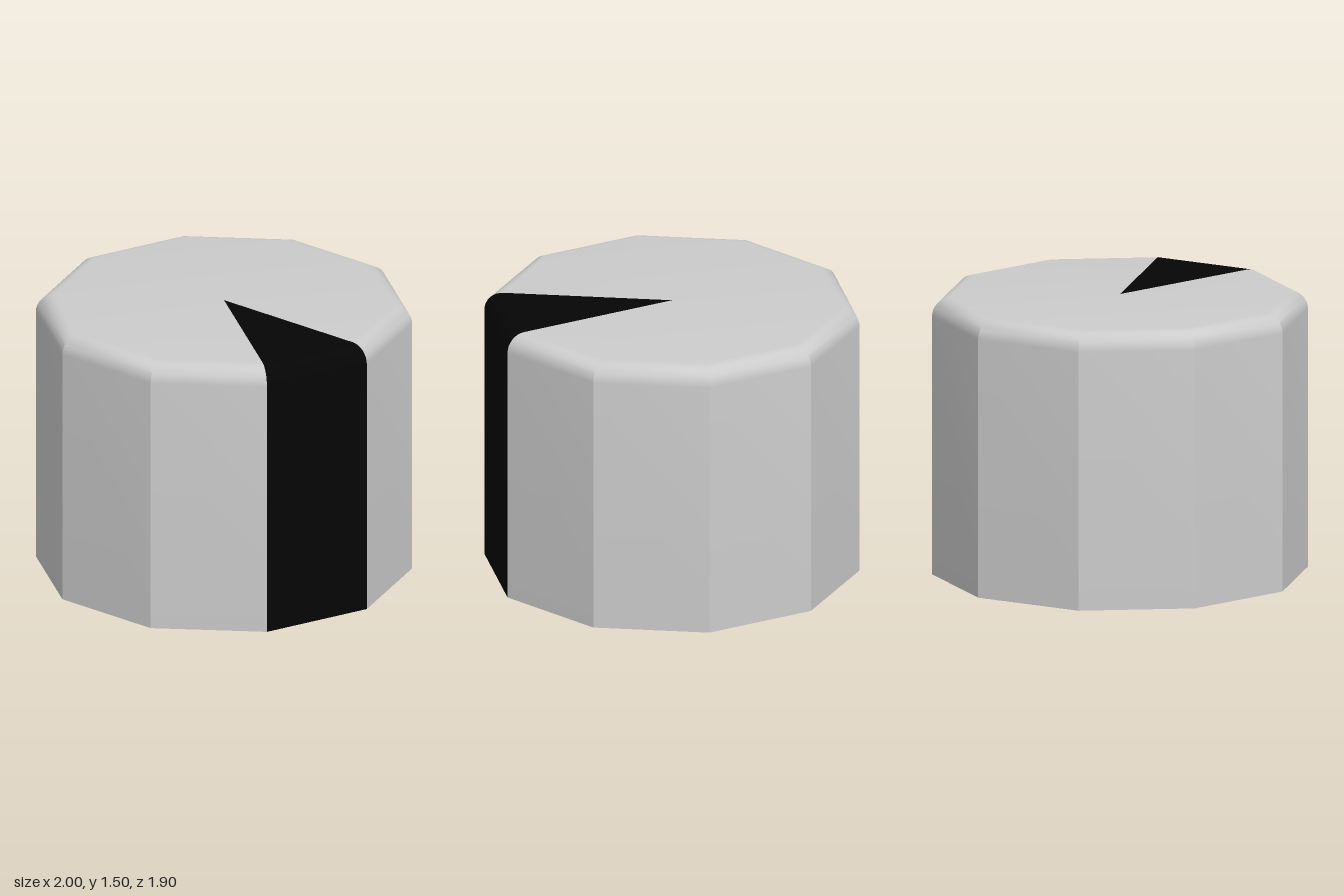
import * as THREE from 'three';
import { toCreasedNormals } from 'three/addons/utils/BufferGeometryUtils.js';

const SIDES = 10, HEIGHT = 1.5, RADIUS = 1, BEVEL = 0.1, ARC_STEPS = 8;
const STEP = (Math.PI * 2) / SIDES;

// Wall, rounded rim and top, from the base up to the centre
function knobProfile() {
  const points = [new THREE.Vector2(RADIUS, 0)];
  for (let i = 0; i <= ARC_STEPS; i++) {
    const a = (i / ARC_STEPS) * Math.PI / 2;
    points.push(new THREE.Vector2(
      RADIUS - BEVEL + BEVEL * Math.cos(a),
      HEIGHT - BEVEL + BEVEL * Math.sin(a)));
  }
  points.push(new THREE.Vector2(0, HEIGHT));
  return points;
}

// A run of facets, smooth over the rim and sharp between the walls
function facets(name, first, count, material) {
  const lathe = new THREE.LatheGeometry(knobProfile(), count, (first - 0.5) * STEP, count * STEP);
  const mesh = new THREE.Mesh(toCreasedNormals(lathe, Math.PI / 6), material);
  mesh.name = name;
  return mesh;
}

export function createModel() {
  const group = new THREE.Group();
  group.name = 'knob';
  const grey = new THREE.MeshStandardMaterial({ color: 0xcccccc });
  const black = new THREE.MeshStandardMaterial({ color: 0x050505 });

  // Nine grey facets, with one black pointer facet facing the front
  group.add(facets('body', 1, SIDES - 1, grey));
  group.add(facets('pointer', 0, 1, black));

  // Flat underside
  const base = new THREE.Mesh(new THREE.CircleGeometry(RADIUS, SIDES), grey);
  base.name = 'base';
  base.rotation.x = Math.PI / 2;
  group.add(base);
  return group;
}
